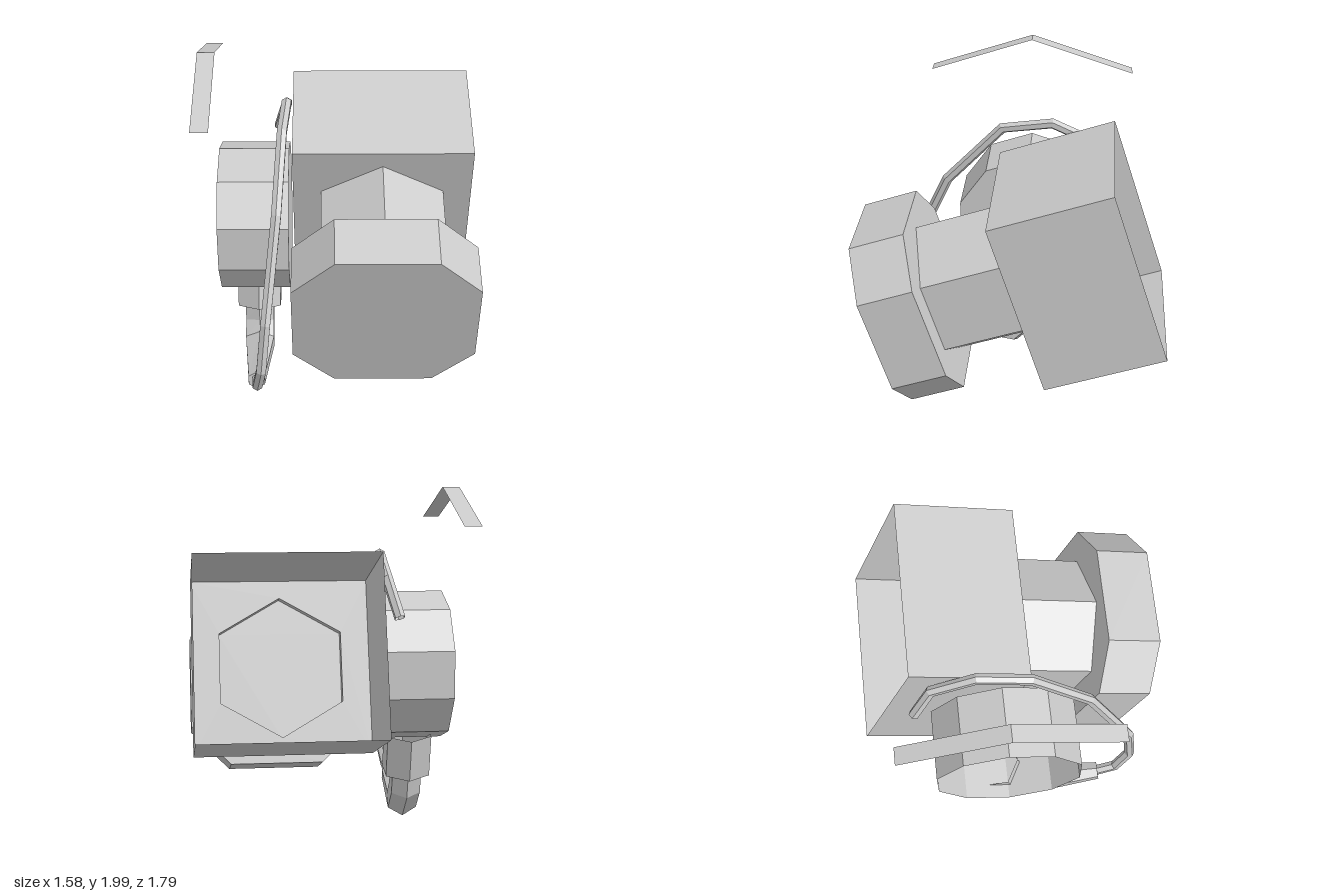
import * as THREE from 'three';

const material = new THREE.MeshStandardMaterial({ color: 0xcccccc, flatShading: true, side: THREE.DoubleSide });

function add(parent, name, geometry, x = 0, y = 0, z = 0) {
  const mesh = new THREE.Mesh(geometry, material);
  mesh.name = name;
  mesh.position.set(x, y, z);
  parent.add(mesh);
  return mesh;
}

// Six-sided tube through stations [x, y, z, radius], kept square to the x axis
function sweep(stations, capped = false) {
  const sides = 6, pos = [], index = [];
  const pts = stations.map(s => new THREE.Vector3(s[0], s[1], s[2]));
  const last = pts.length - 1;
  pts.forEach((p, i) => {
    const before = p.clone().sub(pts[Math.max(i - 1, 0)]).normalize();
    const after = pts[Math.min(i + 1, last)].clone().sub(p).normalize();
    const t = before.add(after).normalize();
    const n = new THREE.Vector3(1, 0, 0).addScaledVector(t, -t.x).normalize();
    const b = t.clone().cross(n);
    for (let k = 0; k < sides; k++) {
      const a = (k / sides) * Math.PI * 2, r = stations[i][3];
      const v = p.clone().addScaledVector(n, Math.sin(a) * r).addScaledVector(b, Math.cos(a) * r);
      pos.push(v.x, v.y, v.z);
      if (i < last) {
        const c = i * sides + k, d = i * sides + (k + 1) % sides;
        index.push(c, c + sides, d, d, c + sides, d + sides);
      }
    }
  });
  if (capped) for (let k = 1; k < sides - 1; k++) {
    const o = last * sides;
    index.push(o, o + k + 1, o + k);
  }
  const g = new THREE.BufferGeometry();
  g.setAttribute('position', new THREE.Float32BufferAttribute(pos, 3));
  g.setIndex(index);
  g.computeVertexNormals();
  return g;
}

function polygon(points) {
  return new THREE.Shape(points.map(p => new THREE.Vector2(p[0], p[1])));
}

export function createModel() {
  const model = new THREE.Group();

  // Tilted head: open box, neck and front plate on one axis
  const head = new THREE.Group();
  head.name = 'head';
  head.position.set(0.265, 1.055, -0.39);
  head.rotation.x = THREE.MathUtils.degToRad(18);
  model.add(head);

  const w = 0.525, h = 0.52, d = 0.357, neckR = 0.416;
  const walls = new THREE.BoxGeometry(w * 2, h * 2, d * 2);
  walls.setIndex(Array.from(walls.index.array).slice(0, 24)); // four side walls only
  add(head, 'housingWalls', walls);

  const panel = polygon([[-w, -h], [w, -h], [w, h], [-w, h]]);
  const hexagon = [];
  for (let i = 0; i < 6; i++) {
    const a = Math.PI / 2 - i * Math.PI / 3;
    hexagon.push([Math.cos(a) * neckR, Math.sin(a) * neckR]);
  }
  panel.holes.push(polygon(hexagon));
  add(head, 'housingFront', new THREE.ShapeGeometry(panel), 0, 0, d);

  const neckLength = 0.86 - d;
  const neck = new THREE.CylinderGeometry(neckR, neckR, neckLength, 6, 1, true).rotateX(Math.PI / 2);
  add(head, 'neck', neck, 0, 0, d + neckLength / 2);
  add(head, 'neckRecess', new THREE.ShapeGeometry(polygon(hexagon)), 0, 0, d + 0.06);

  const cx = 0.285, cy = 0.28;
  const octagon = polygon([[cx, h], [-cx, h], [-w, cy], [-w, -cy], [-cx, -h], [cx, -h], [w, -cy], [w, cy]]);
  const plate = new THREE.ExtrudeGeometry(octagon, { depth: 0.325, bevelEnabled: false });
  add(head, 'frontPlate', plate, 0, 0, 0.86);

  // Side drum, open on its outer end
  const drum = new THREE.CylinderGeometry(0.44, 0.44, 0.41, 10, 1, true, Math.PI / 2).rotateZ(Math.PI / 2);
  add(model, 'drum', drum, -0.485, 0.95, -0.06);
  const cap = new THREE.CircleGeometry(0.44, 10, Math.PI / 2).rotateY(Math.PI / 2);
  add(model, 'drumInnerCap', cap, -0.28, 0.95, -0.06);

  // Collar under the drum, tapering hose and thin cable
  add(model, 'collar', sweep([[-0.48, 0.56, -0.135, 0.15], [-0.48, 0.31, -0.075, 0.15]], true));
  add(model, 'hose', sweep([
    [-0.48, 0.32, -0.075, 0.1], [-0.48, 0.2, -0.045, 0.1],
    [-0.48, 0.1, 0.055, 0.1], [-0.48, 0.15, 0.53, 0.055],
  ], true));
  const r = 0.032;
  add(model, 'cable', sweep([
    [-0.48, 0.15, 0.5, r], [-0.47, 0.195, 0.64, r], [-0.44, 0.36, 0.725, r], [-0.41, 0.66, 0.7, r],
    [-0.345, 1.22, 0.44, r], [-0.315, 1.575, 0.1, r], [-0.295, 1.62, -0.2, r],
    [-0.3, 1.5, -0.46, r], [-0.355, 1.29, -0.57, r],
  ]));

  // Thin bent strip above the drum
  const strip = new THREE.PlaneGeometry(0.1, 1.23, 1, 2).rotateX(-Math.PI / 2);
  const p = strip.attributes.position;
  for (let i = 0; i < p.count; i++) p.setY(i, Math.abs(p.getZ(i)) < 0.01 ? 0.2 : 0);
  strip.computeVertexNormals();
  add(model, 'bentStrip', strip, -0.74, 1.8, -0.055);

  return model;
}
